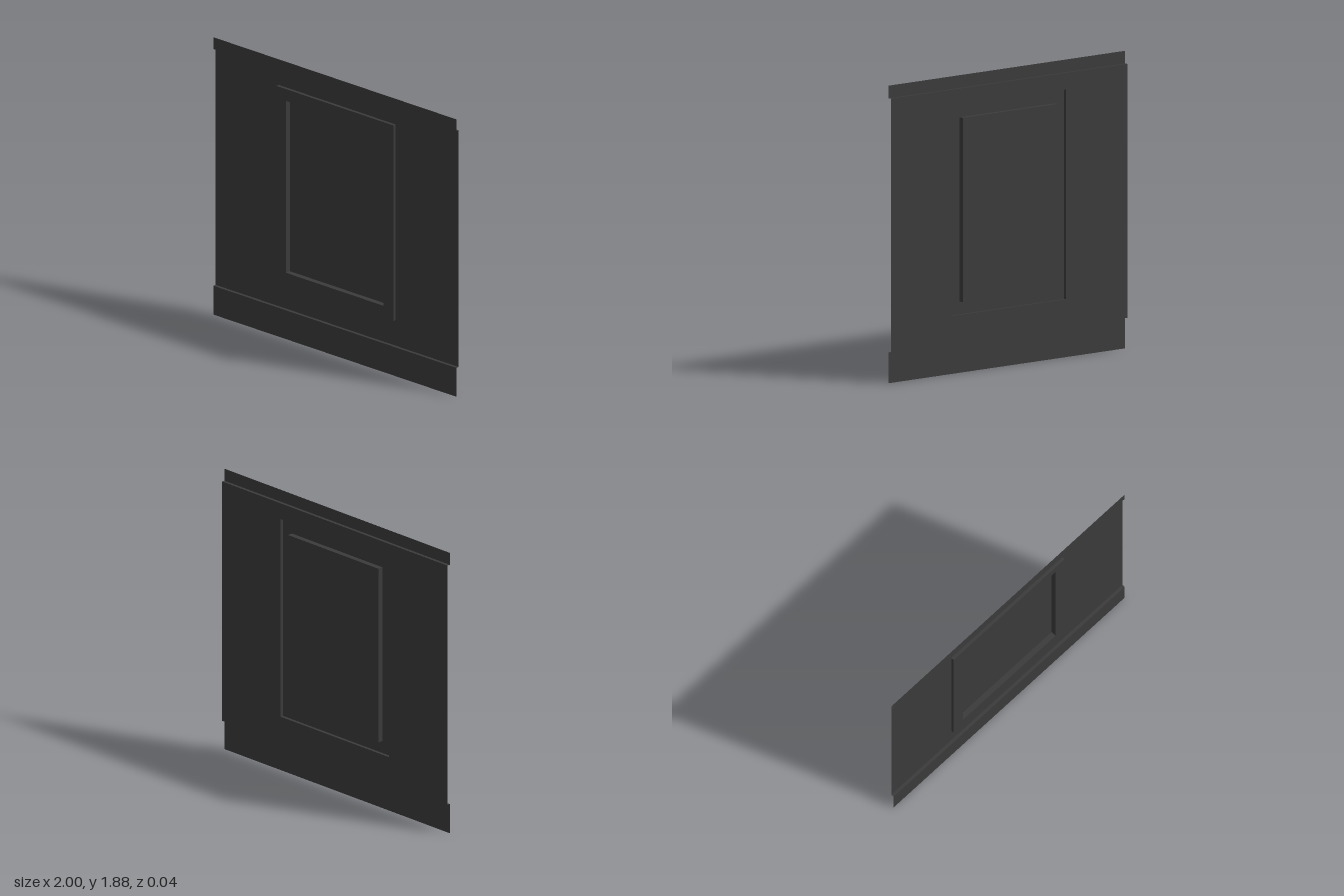
import * as THREE from 'three';

// Depths of the folded sheet: raised trim, wall face, sunken panel
const FRONT = 0.0175, WALL = -0.003, BACK = -0.0175;
// Heights of the trim lines
const SKIRT = 0.195, RAIL = 1.797, TOP = 1.877;
// Rectangles as [half width, bottom, top]
const OUTER = [0.481, 0.369, 1.692];
const INNER = [0.401, 0.449, 1.612];

export function createModel() {
  const group = new THREE.Group();
  const charcoal = new THREE.MeshStandardMaterial({ color: 0x3b3b3b, side: THREE.DoubleSide });
  charcoal.name = 'charcoal';

  const add = (name, geometry, parent = group) => {
    const mesh = new THREE.Mesh(geometry, charcoal);
    mesh.name = name;
    parent.add(mesh);
    return mesh;
  };

  // Flat rectangle facing the front, with an optional rectangular opening
  const trace = (path, [w, y0, y1]) =>
    path.moveTo(-w, y0).lineTo(w, y0).lineTo(w, y1).lineTo(-w, y1).closePath();
  const sheet = (name, rect, z, opening) => {
    const shape = trace(new THREE.Shape(), rect);
    if (opening) shape.holes.push(trace(new THREE.Path(), opening));
    add(name, new THREE.ShapeGeometry(shape).translate(0, 0, z));
  };

  // Horizontal ledge joining two depths; side is 1 facing up, -1 facing down
  const ledge = (name, w, y, z0, z1, side, parent) => {
    const g = new THREE.PlaneGeometry(2 * w, z1 - z0).rotateX(-side * Math.PI / 2);
    add(name, g.translate(0, y, (z0 + z1) / 2), parent);
  };

  // Four edge strips round a rectangle; out is 1 facing outward, -1 inward
  const border = (name, [w, y0, y1], z0, z1, out) => {
    const edges = new THREE.Group();
    edges.name = name;
    group.add(edges);
    ledge(name + 'Top', w, y1, z0, z1, out, edges);
    ledge(name + 'Bottom', w, y0, z0, z1, -out, edges);
    for (const s of [-1, 1]) {
      const g = new THREE.PlaneGeometry(z1 - z0, y1 - y0).rotateY(s * out * Math.PI / 2);
      add(name + (s > 0 ? 'Left' : 'Right'), g.translate(s * w, (y0 + y1) / 2, (z0 + z1) / 2), edges);
    }
  };

  // Wall with raised skirting and top rail
  sheet('wall', [1, SKIRT, RAIL], WALL, OUTER);
  sheet('skirting', [1, 0, SKIRT], FRONT);
  sheet('topRail', [1, RAIL, TOP], FRONT);
  ledge('skirtingLedge', 1, SKIRT, WALL, FRONT, 1);
  ledge('topRailLedge', 1, RAIL, WALL, FRONT, -1);

  // Raised frame round the sunken panel
  sheet('frame', OUTER, FRONT, INNER);
  border('frameEdge', OUTER, WALL, FRONT, 1);
  sheet('panel', INNER, BACK);
  border('panelEdge', INNER, BACK, FRONT, -1);

  return group;
}
